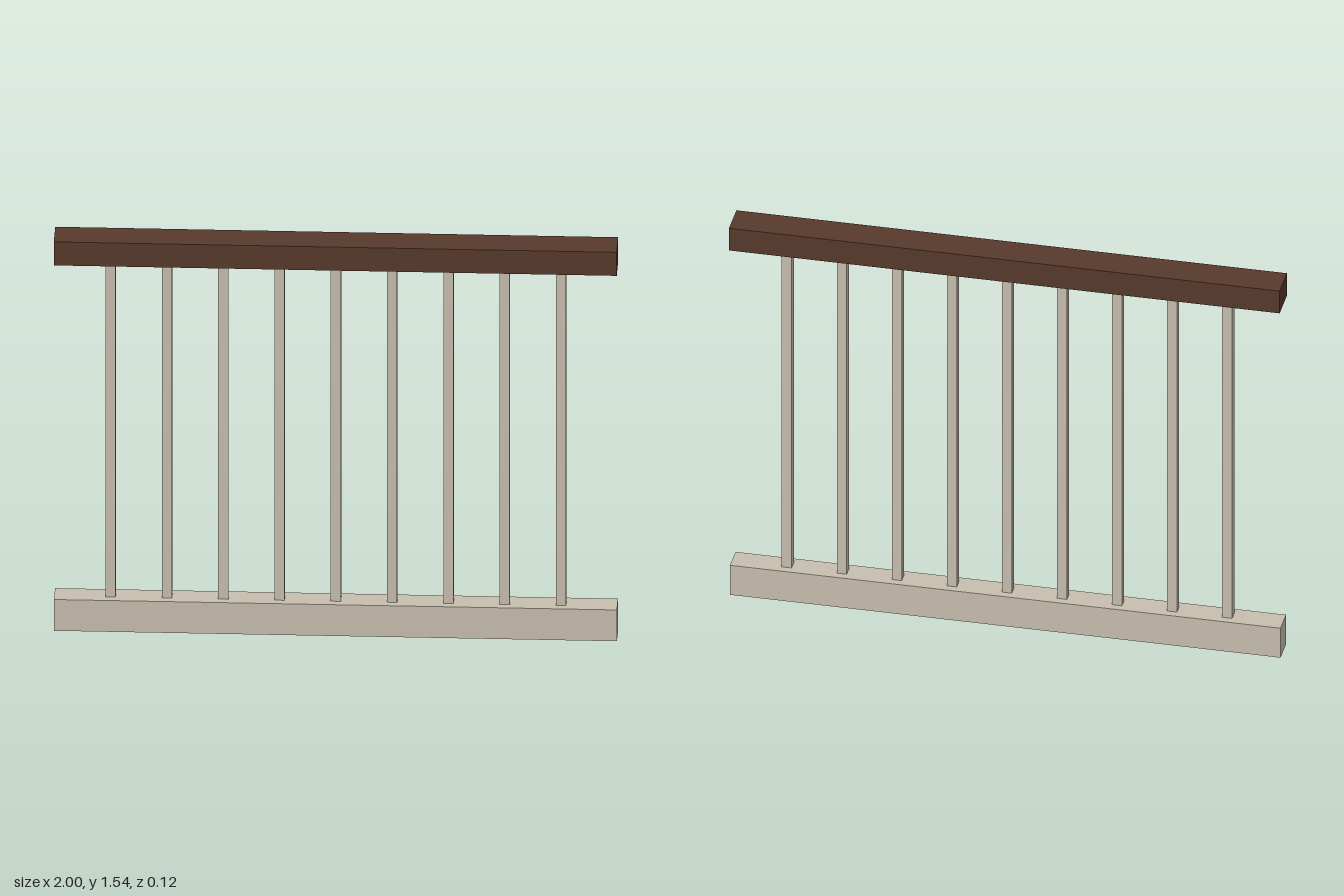
import * as THREE from 'three';

export function createModel() {
  const model = new THREE.Group();
  model.name = 'railing';

  const wood = new THREE.MeshStandardMaterial({ color: 0x57392c });
  wood.name = 'dark wood';
  const stone = new THREE.MeshStandardMaterial({ color: 0xc7bfae });
  stone.name = 'pale stone';

  // Box standing on a given height
  function addBox(name, width, height, depth, x, bottom, material) {
    const mesh = new THREE.Mesh(new THREE.BoxGeometry(width, height, depth), material);
    mesh.name = name;
    mesh.position.set(x, bottom + height / 2, 0);
    model.add(mesh);
  }

  const baseHeight = 0.123;
  const railBottom = 1.446;

  addBox('baseRail', 2, baseHeight, 0.093, 0, 0, stone);
  addBox('handrail', 2, 0.0925, 0.124, 0, railBottom, wood);

  // Nine evenly spaced square balusters
  for (let i = -4; i <= 4; i++) {
    addBox(`baluster${i + 5}`, 0.036, railBottom - baseHeight, 0.036, i * 0.2, baseHeight, stone);
  }

  return model;
}
